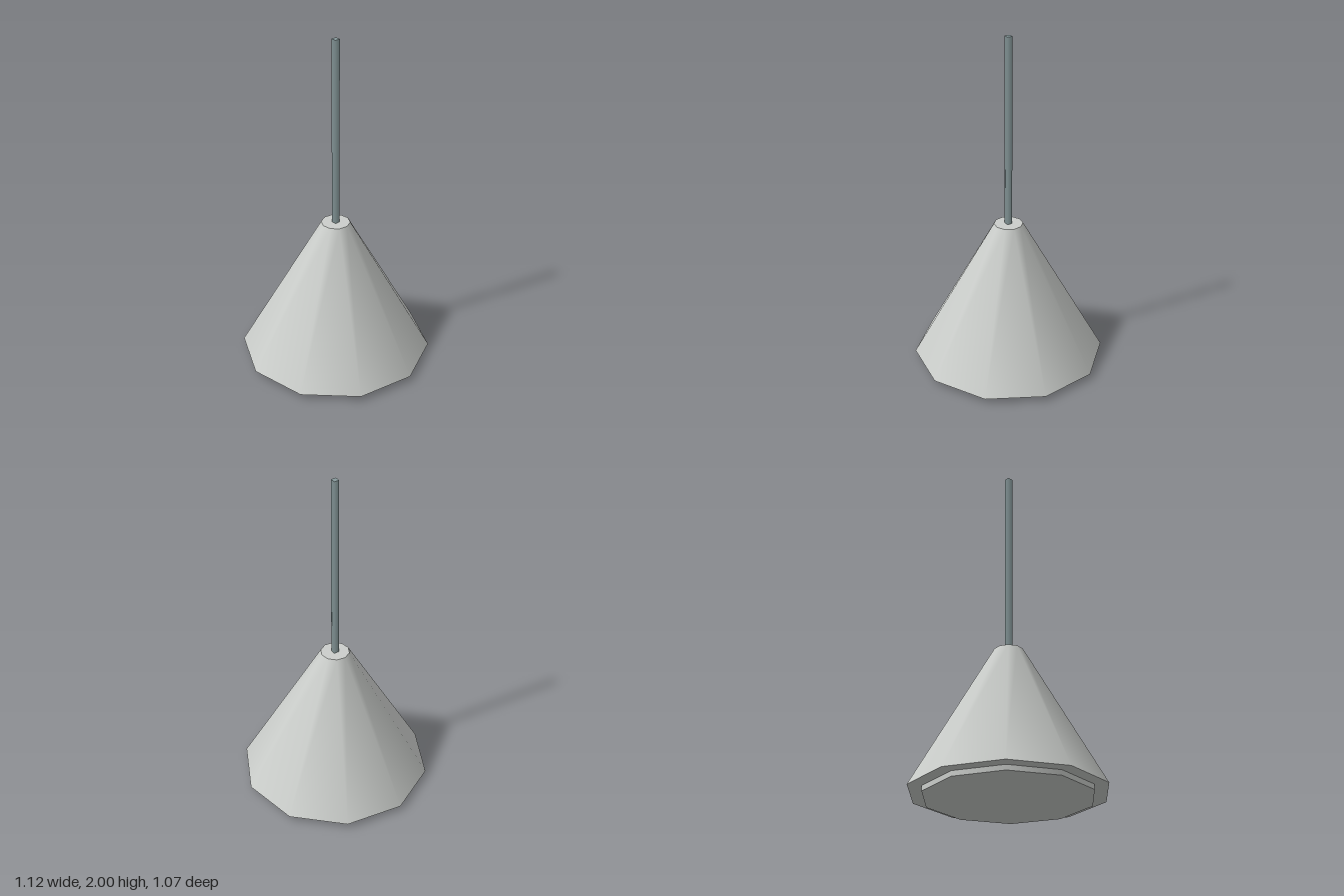
import * as THREE from 'three';

export function createModel() {
  const group = new THREE.Group();
  group.name = 'pendantLamp';
  const shadeGrey = new THREE.MeshStandardMaterial({ color: 0xcbcecb });
  shadeGrey.name = 'shadeGrey';
  const rodGrey = new THREE.MeshStandardMaterial({ color: 0x87999b });
  rodGrey.name = 'rodGrey';

  // Smooth-shaded prism or cone standing between two heights, with a corner on +x
  function addPart(name, rTop, rBottom, y0, y1, sides, start, material) {
    const geometry = new THREE.CylinderGeometry(rTop, rBottom, y1 - y0, sides, 1, false, start);
    const mesh = new THREE.Mesh(geometry, material);
    mesh.name = name;
    mesh.position.y = (y0 + y1) / 2;
    group.add(mesh);
  }

  // Ten-sided conical shade
  addPart('shade', 0.084, 0.56, 0.03, 0.872, 10, Math.PI / 10, shadeGrey);
  // Shallow diffuser disc under the shade
  addPart('diffuser', 0.48, 0.48, 0, 0.03, 10, Math.PI / 10, shadeGrey);
  // Four-sided hanging rod
  addPart('rod', 0.022, 0.022, 0.872, 2, 4, 0, rodGrey);

  return group;
}
